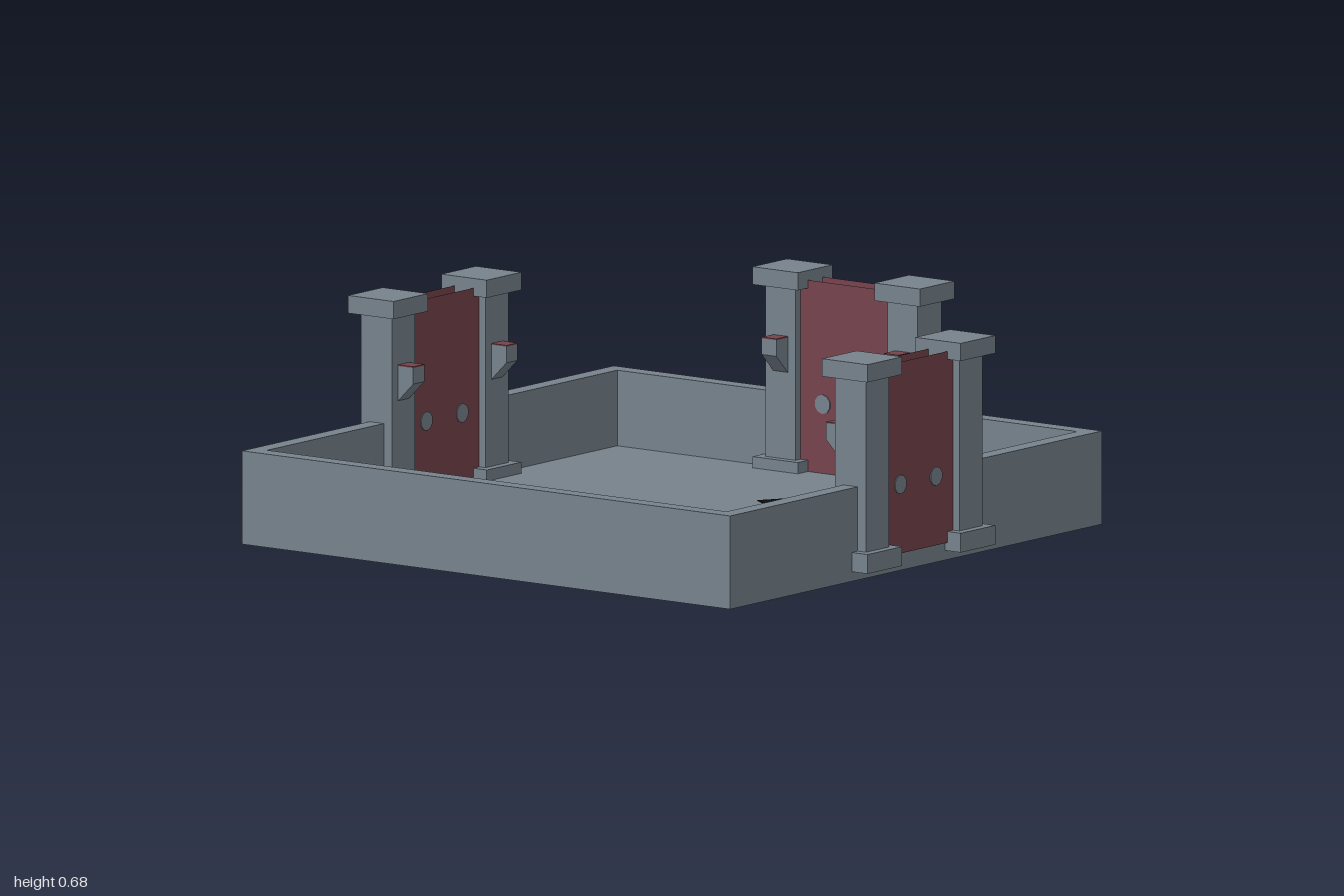
import * as THREE from 'three';

const stone = new THREE.MeshStandardMaterial({ color: 0x77828c });
stone.name = 'stone grey';
const red = new THREE.MeshStandardMaterial({ color: 0x75434c, side: THREE.DoubleSide });
red.name = 'dull red';
const black = new THREE.MeshStandardMaterial({ color: 0x0b0b0b });
black.name = 'black';

const FLOOR = 0.055;

function add(parent, name, geometry, material, x = 0, y = 0, z = 0) {
  const mesh = new THREE.Mesh(geometry, material);
  mesh.name = name;
  mesh.position.set(x, y, z);
  parent.add(mesh);
  return mesh;
}

const box = (w, h, d) => new THREE.BoxGeometry(w, h, d);

// Child group at a position, turned clockwise as seen from above
function frame(parent, name, x, y, z, turn) {
  const group = new THREE.Group();
  group.name = name;
  group.position.set(x, y, z);
  group.rotation.y = -turn;
  parent.add(group);
  return group;
}

// Doorway: two capped pillars with wall lamps and a studded door; outside is -z
function addDoorway(parent, x0, z0, turn) {
  const door = frame(parent, 'doorway', x0, 0, z0, turn);
  for (const side of [-1, 1]) {
    const x = side * 0.235;
    add(door, 'pillarBase', box(0.175, 0.06, 0.175), stone, x, 0.06, 0);
    add(door, 'pillarShaft', box(0.116, 0.57, 0.12), stone, x, 0.345, 0);
    add(door, 'pillarCap', box(0.175, 0.055, 0.175), stone, x, 0.6525, 0);

    // lamp bracket with a sloped underside
    const profile = new THREE.Shape()
      .moveTo(0, 0.36).lineTo(-0.058, 0.418).lineTo(-0.058, 0.468).lineTo(0, 0.468);
    const bracket = new THREE.ExtrudeGeometry(profile, { depth: 0.056, bevelEnabled: false });
    bracket.rotateY(Math.PI / 2);
    add(door, 'lampBracket', bracket, stone, x - 0.028, 0, 0.06);
    add(door, 'lampTop', box(0.056, 0.004, 0.058), red, x, 0.47, 0.089);

    // door skin on each face, with two studs
    add(door, 'doorPanel', new THREE.PlaneGeometry(0.36, 0.595), red, 0, 0.3525, side * 0.036);
    for (const studX of [-0.09, 0.09]) {
      const stud = new THREE.CylinderGeometry(0.03, 0.03, 0.004, 10);
      stud.rotateX(Math.PI / 2);
      add(door, 'doorStud', stud, stone, studX, 0.27, side * 0.037);
    }
  }
}

// Dark square on the floor with red markings
function addPit(parent, x, z, turn) {
  const pit = frame(parent, 'pit', x, FLOOR, z, turn);
  add(pit, 'pitSquare', box(0.354, 0.004, 0.354), black);
  return pit;
}

function addCornerMarks(pit) {
  add(pit, 'cornerMark', box(0.172, 0.004, 0.172), red, -0.091, 0.002, -0.091);
  add(pit, 'sideMark', box(0.112, 0.004, 0.12), red, 0.121, 0.002, 0.015);
  add(pit, 'roundMark', new THREE.CylinderGeometry(0.033, 0.033, 0.004, 10), red, -0.028, 0.002, 0.092);
}

// Loose floor slab, its top centre at height y, tilted sideways
function addSlab(parent, x, y, z, turn, size, tilt) {
  const slab = frame(parent, 'looseSlab', x, y, z, turn);
  slab.rotation.z = tilt;
  add(slab, 'slabStone', box(size, 0.045, size), stone, 0, -0.0225, 0);
  return slab;
}

// Stepped red stain lying on a slab
function addSplash(slab, x, z, turn, scale) {
  const shape = new THREE.Shape()
    .moveTo(-0.11, 0.09).lineTo(-0.09, -0.04).lineTo(-0.03, -0.04).lineTo(-0.02, -0.09)
    .lineTo(0.1, -0.09).lineTo(0.09, 0.04).lineTo(0.03, 0.11);
  const g = new THREE.ExtrudeGeometry(shape, { depth: 0.006, bevelEnabled: false });
  g.rotateX(-Math.PI / 2);
  g.scale(scale, 1, scale);
  const splash = add(slab, 'redSplash', g, red, x, -0.003, z);
  splash.rotation.y = -turn;
}

// Rectangle outline, half sizes w and d
const outline = (path, w, d) =>
  path.moveTo(-w, -d).lineTo(w, -d).lineTo(w, d).lineTo(-w, d).closePath();

export function createModel() {
  const model = new THREE.Group();
  model.name = 'walledRoom';

  // floor and surrounding wall
  add(model, 'floor', box(1.87, FLOOR, 1.865), stone, 0, FLOOR / 2, 0.0275);
  const ring = outline(new THREE.Shape(), 0.94, 0.9375);
  ring.holes.push(outline(new THREE.Path(), 0.885, 0.8825));
  const wall = new THREE.ExtrudeGeometry(ring, { depth: 0.29, bevelEnabled: false });
  wall.rotateX(-Math.PI / 2);
  add(model, 'wall', wall, stone, 0, 0, 0.0275);

  // doorways at the back and on both sides
  addDoorway(model, 0, -0.887, 0);
  for (const side of [-1, 1]) addDoorway(model, side * 0.9125, 0.029, side * Math.PI / 2);

  // broken floor at the back
  addCornerMarks(addPit(model, 0.285, -0.405, 0.564));
  const backSlab = addSlab(model, 0.437, 0.075, -0.502, -0.05, 0.174, 0.08);
  addSplash(backSlab, -0.033, 0.043, Math.PI, 0.6);

  // broken floor at the front, -x side
  addCornerMarks(addPit(model, -0.472, 0.315, 0.765));
  const rightSlab = addSlab(model, -0.58, 0.075, 0.545, 0.23, 0.29, -0.1);
  addSplash(rightSlab, 0.07, -0.094, 0.1, 0.8);

  // broken floor at the front, +x side, with two overlapping slabs
  const leftPit = addPit(model, 0.527, 0.378, -0.172);
  add(leftPit, 'stripMark', box(0.13, 0.004, 0.13), red, 0.004, 0.002, -0.112);
  addSlab(model, 0.62, 0.07, 0.45, 0.885, 0.28, 0.05);
  const leftSlab = addSlab(model, 0.441, 0.09, 0.6, -0.151, 0.292, -0.08);
  addSplash(leftSlab, 0.055, -0.133, 0, 1);

  return model;
}
